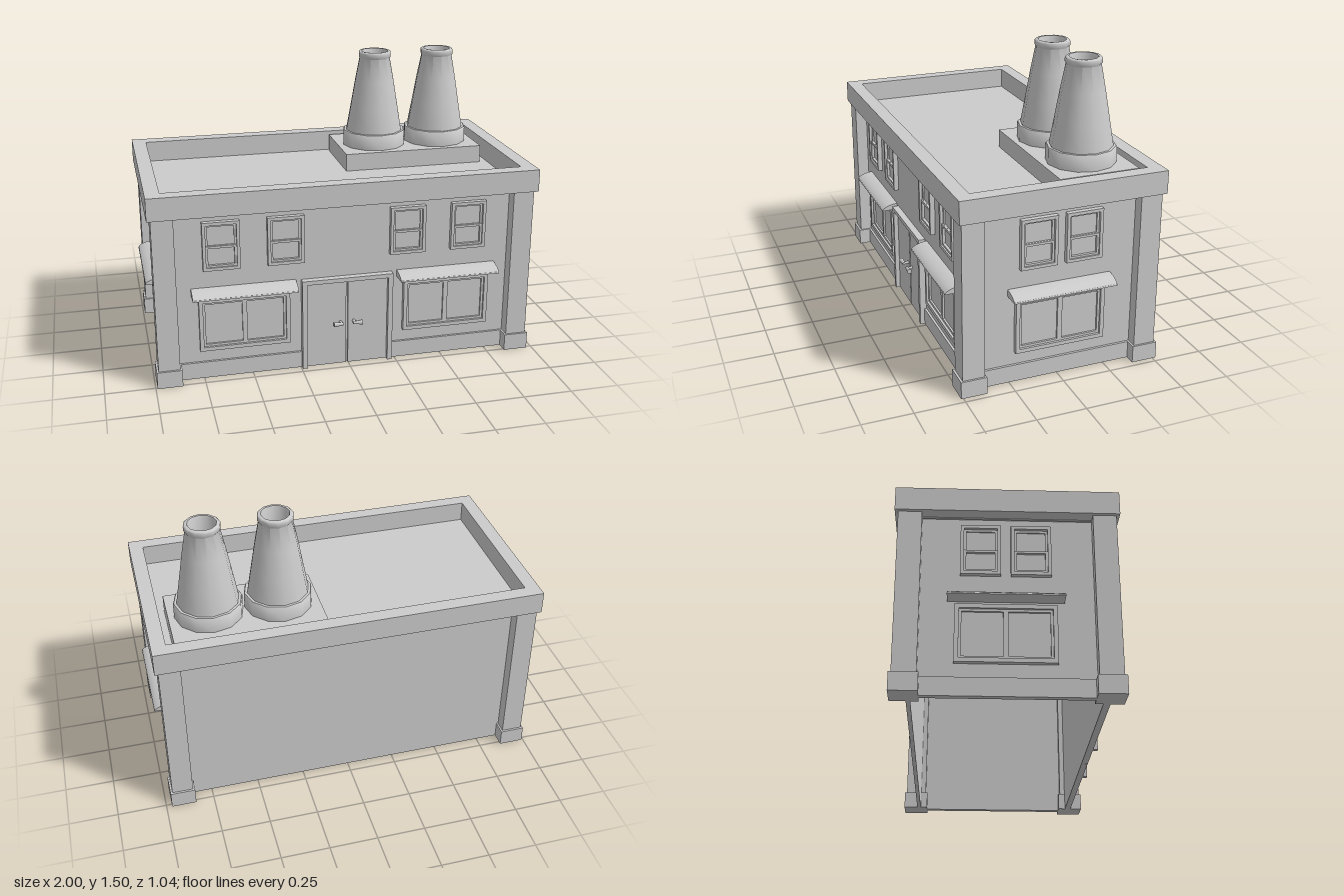
import * as THREE from 'three';
import { toCreasedNormals } from 'three/addons/utils/BufferGeometryUtils.js';

const grey = new THREE.MeshStandardMaterial({ color: 0xcccccc });

function add(parent, name, geometry, x = 0, y = 0, z = 0) {
  const mesh = new THREE.Mesh(geometry, grey);
  mesh.name = name;
  mesh.position.set(x, y, z);
  parent.add(mesh);
  return mesh;
}

// Box given by its limits on each axis
function block(parent, name, x0, x1, y0, y1, z0, z1) {
  return add(parent, name, new THREE.BoxGeometry(x1 - x0, y1 - y0, z1 - z0),
    (x0 + x1) / 2, (y0 + y1) / 2, (z0 + z1) / 2);
}

function group(parent, name, x = 0, y = 0, z = 0, turn = 0) {
  const g = new THREE.Group();
  g.name = name;
  g.position.set(x, y, z);
  g.rotation.y = turn;
  parent.add(g);
  return g;
}

// Rectangle with a rectangular hole, extruded along +z
function ringGeometry(w, h, border, depth) {
  const rect = (a, b, Type) => new Type([
    new THREE.Vector2(-a, -b), new THREE.Vector2(a, -b),
    new THREE.Vector2(a, b), new THREE.Vector2(-a, b)]);
  const shape = rect(w / 2, h / 2, THREE.Shape);
  shape.holes.push(rect(w / 2 - border, h / 2 - border, THREE.Path));
  return new THREE.ExtrudeGeometry(shape, { depth, bevelEnabled: false });
}

// Small two-part window, lower sash in front of the upper one
function sashWindow(parent, x) {
  const g = group(parent, 'sashWindow', x, 0.712, 0);
  add(g, 'windowFrame', ringGeometry(0.185, 0.252, 0.016, 0.025));
  add(g, 'upperSash', ringGeometry(0.155, 0.122, 0.012, 0.01), 0, 0.05, 0);
  add(g, 'lowerSash', ringGeometry(0.155, 0.112, 0.012, 0.017), 0, -0.056, 0);
  add(g, 'glass', new THREE.BoxGeometry(0.16, 0.225, 0.006));
}

// Wide window with two panes
function shopWindow(parent, x) {
  const g = group(parent, 'shopWindow', x, 0.295, 0);
  add(g, 'windowFrame', ringGeometry(0.46, 0.28, 0.02, 0.025));
  for (const s of [-1, 1]) {
    add(g, 'paneFrame', ringGeometry(0.21, 0.24, 0.012, 0.013), s * 0.105, 0, 0);
  }
  add(g, 'glass', new THREE.BoxGeometry(0.42, 0.24, 0.006));
}

// Awning with a rounded top
function awning(parent, x) {
  const width = 0.528;
  const s = new THREE.Shape();
  s.moveTo(-0.01, 0);
  s.lineTo(0.085, 0);
  s.lineTo(0.083, 0.007);
  s.quadraticCurveTo(0.06, 0.03, 0, 0.036);
  s.lineTo(-0.01, 0.036);
  const geo = new THREE.ExtrudeGeometry(s, { depth: width, bevelEnabled: false, curveSegments: 6 });
  geo.rotateY(-Math.PI / 2);
  geo.translate(width / 2, 0, 0);
  add(parent, 'awning', toCreasedNormals(geo, 0.6), x, 0.455, 0);
}

function doubleDoor(parent) {
  const g = group(parent, 'doubleDoor');
  for (const s of [-1, 1]) {
    block(g, 'doorJamb', s * 0.225 - 0.0125, s * 0.225 + 0.0125, 0, 0.465, -0.01, 0.035);
    block(g, 'doorLeaf', s * 0.109 - 0.104, s * 0.109 + 0.104, 0, 0.465, -0.01, 0.012);
    // Handle: short stem and a flared lever
    const stem = add(g, 'handleStem', new THREE.CylinderGeometry(0.007, 0.009, 0.028, 8), s * 0.035, 0.235, 0.024);
    stem.rotation.x = Math.PI / 2;
    const lever = add(g, 'handleLever', new THREE.CylinderGeometry(0.013, 0.007, 0.05, 8), s * 0.05, 0.235, 0.04);
    lever.rotation.z = -s * Math.PI / 2;
  }
  block(g, 'doorLintel', -0.2375, 0.2375, 0.465, 0.487, -0.01, 0.035);
}

// Tapered stack with foot ring, lip and hollow top
function chimney(parent, x, z) {
  const profile = [
    [0.001, 0.98], [0.172, 0.98], [0.172, 1.062], [0.168, 1.067], [0.155, 1.067],
    [0.132, 1.2], [0.108, 1.34], [0.084, 1.465], [0.089, 1.472], [0.089, 1.494],
    [0.083, 1.5], [0.071, 1.5], [0.067, 1.49], [0.062, 1.4], [0.001, 1.38],
  ].map(([r, y]) => new THREE.Vector2(r, y));
  const geo = toCreasedNormals(new THREE.LatheGeometry(profile, 12), 0.85);
  add(parent, 'chimney', geo, x, 0, z);
}

export function createModel() {
  const model = new THREE.Group();
  model.name = 'building';
  const body = group(model, 'body', -0.01, 0, -0.003);
  const wx = 0.915, wz = 0.44;

  // Walls, open underneath
  for (const s of [-1, 1]) {
    add(body, 'longWall', new THREE.BoxGeometry(2 * wx, 0.89, 0.02), 0, 0.445, s * (wz - 0.01));
    add(body, 'endWall', new THREE.BoxGeometry(0.02, 0.89, 2 * wz), s * (wx - 0.01), 0.445, 0);
    // Corner pillars with wider feet
    for (const t of [-1, 1]) {
      add(body, 'cornerPillar', new THREE.BoxGeometry(0.108, 0.89, 0.11), s * 0.918, 0.445, t * 0.448);
      add(body, 'pillarFoot', new THREE.BoxGeometry(0.127, 0.088, 0.13), s * 0.918, 0.044, t * 0.449);
    }
    // Skirting along the end walls and beside the door
    add(body, 'endSkirting', new THREE.BoxGeometry(0.02, 0.088, 0.8), s * (wx + 0.002), 0.044, 0);
    add(body, 'frontSkirting', new THREE.BoxGeometry(0.63, 0.088, 0.02), s * 0.55, 0.044, wz + 0.002);
  }

  // Parapet and roof
  const parapet = add(body, 'parapet', ringGeometry(1.98, 1.036, 0.073, 0.116), 0, 0.885, 0);
  parapet.rotation.x = -Math.PI / 2;
  add(body, 'roof', new THREE.BoxGeometry(1.85, 0.012, 0.9), 0, 0.886, 0);

  // Front openings
  const front = group(model, 'frontFittings', -0.007, 0, wz - 0.003);
  for (const x of [-0.637, -0.315, 0.315, 0.637]) sashWindow(front, x);
  for (const x of [-0.529, 0.529]) {
    shopWindow(front, x);
    awning(front, x);
  }
  doubleDoor(front);

  // End openings, the same on both ends
  for (const s of [-1, 1]) {
    const end = group(model, s > 0 ? 'leftFittings' : 'rightFittings',
      -0.01 + s * wx, 0, -0.01, s * Math.PI / 2);
    for (const x of [-0.115, 0.115]) sashWindow(end, x);
    shopWindow(end, 0);
    awning(end, 0);
  }

  // Chimneys on their plinth
  const stacks = group(model, 'chimneys');
  block(stacks, 'chimneyPlinth', 0.105, 0.865, 0.885, 0.985, -0.43, -0.02);
  for (const x of [0.31, 0.662]) chimney(stacks, x, -0.22);

  return model;
}
